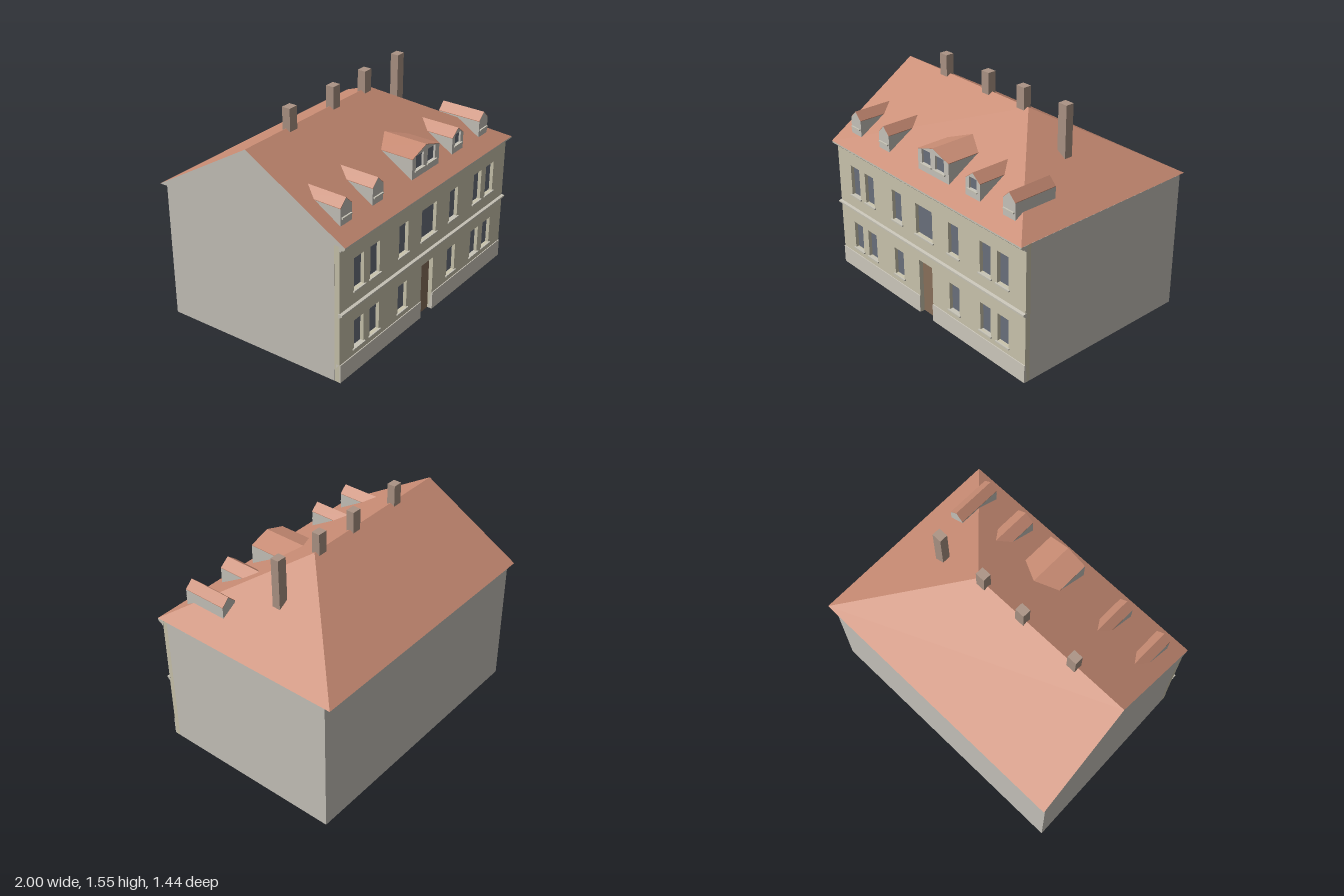
import * as THREE from 'three';

const paint = (color) => new THREE.MeshStandardMaterial({ color, flatShading: true });
const MAT = {
  facade: paint(0xcbc5ae), wall: paint(0xc8c4bc), plinth: paint(0xcfcabe), trim: paint(0xc9c5b8),
  glass: paint(0x6b717d), door: paint(0x8a715b), roof: paint(0xc98c74), chimney: paint(0xac9485),
};
const FRONT = 0.68, EAVE = 0.98, RIDGE = 1.415;

function add(parent, name, geometry, material) {
  const mesh = new THREE.Mesh(geometry, material);
  mesh.name = name;
  parent.add(mesh);
  return mesh;
}

// Box given by its limits on each axis
function box(parent, name, material, x0, x1, y0, y1, z0, z1) {
  const g = new THREE.BoxGeometry(x1 - x0, y1 - y0, z1 - z0);
  g.translate((x0 + x1) / 2, (y0 + y1) / 2, (z0 + z1) / 2);
  return add(parent, name, g, material);
}

const shapeOf = (pts) => new THREE.Shape(pts.map(([x, y]) => new THREE.Vector2(x, y)));

// Outline in x/y with rectangular holes [x0, x1, y0, y1], extruded from z0 to z1
function slab(parent, name, material, pts, z0, z1, holes = []) {
  const shape = shapeOf(pts);
  for (const [a, b, c, d] of holes) {
    shape.holes.push(new THREE.Path([[a, c], [a, d], [b, d], [b, c]].map(([x, y]) => new THREE.Vector2(x, y))));
  }
  const g = new THREE.ExtrudeGeometry(shape, { depth: z1 - z0, bevelEnabled: false });
  g.translate(0, 0, z0);
  return add(parent, name, g, material);
}

// Moulding with a z/y profile running along x
function moulding(parent, name, profile, x0, x1) {
  const g = new THREE.ExtrudeGeometry(shapeOf(profile.map(([z, y]) => [-z, y])), { depth: x1 - x0, bevelEnabled: false });
  g.rotateY(Math.PI / 2);
  // After the turn, local x points to -z
  g.translate(x0, 0, 0);
  return add(parent, name, g, MAT.trim);
}

// Flat faces, corners counter-clockwise from outside
function faces(parent, name, material, polys) {
  const pos = [];
  for (const p of polys) {
    for (let i = 1; i < p.length - 1; i++) pos.push(...p[0], ...p[i], ...p[i + 1]);
  }
  const g = new THREE.BufferGeometry();
  g.setAttribute('position', new THREE.Float32BufferAttribute(pos, 3));
  g.computeVertexNormals();
  return add(parent, name, g, material);
}

// Recessed pane and projecting sill for one opening
function windowParts(parent, [x0, x1, y0, y1], front, depth) {
  box(parent, 'windowPane', MAT.glass, x0, x1, y0, y1, front - depth - 0.005, front - depth);
  box(parent, 'windowSill', MAT.trim, x0 - 0.012, x1 + 0.012, y0 - 0.01, y0, front - depth, front + 0.011);
}

function dormer(parent, cx, half, eave, peak, windows) {
  const d = new THREE.Group();
  d.name = 'dormer';
  parent.add(d);
  const base = 1.045, back = 0.287, front = 0.613, skin = 0.02, t = 0.004;
  const outline = [[cx - half, base], [cx + half, base], [cx + half, eave], [cx, peak], [cx - half, eave]];
  slab(d, 'dormerBody', MAT.wall, outline, back, front - skin);
  slab(d, 'dormerFront', MAT.wall, outline, front - skin, front, windows);
  // Thin tiled covering
  slab(d, 'dormerRoof', MAT.roof, [[cx - half, eave], [cx, peak], [cx + half, eave],
    [cx + half, eave + t], [cx, peak + t], [cx - half, eave + t]], back, front);
  for (const w of windows) windowParts(d, w, front, skin - 0.005);
}

export function createModel() {
  const house = new THREE.Group();
  house.name = 'house';

  // Main walls: a footprint with a slanting left side
  const inner = FRONT - 0.04;
  const plan = shapeOf([[-0.937, -inner], [0.998, -inner], [0.99, 0.68], [-0.98, 0.68]]);
  const walls = new THREE.ExtrudeGeometry(plan, { depth: EAVE - 0.002, bevelEnabled: false });
  walls.rotateX(-Math.PI / 2);
  add(house, 'walls', walls, MAT.wall);

  // Front facade with window openings and a door notch
  const columns = [[-0.79, -0.69], [-0.625, -0.525], [-0.315, -0.215], [0.275, 0.375], [0.58, 0.68], [0.742, 0.845]];
  const openings = [[-0.06, 0.112, 0.605, 0.83]];
  for (const [a, b] of columns) openings.push([a, b, 0.605, 0.83], [a, b, 0.18, 0.385]);
  const L = -0.936, R = 0.998, doorL = -0.042, doorR = 0.097, doorTop = 0.41;
  slab(house, 'facade', MAT.facade, [[L, 0], [doorL, 0], [doorL, doorTop], [doorR, doorTop], [doorR, 0],
    [R, 0], [R, EAVE - 0.002], [L, EAVE - 0.002]], inner, FRONT - 0.003, openings);
  for (const o of openings) windowParts(house, o, FRONT - 0.003, 0.025);
  box(house, 'door', MAT.door, doorL, doorR, 0, doorTop, inner, inner + 0.006);

  // Plinth on both sides of the door
  for (const [a, b] of [[L, doorL], [doorR, R]]) box(house, 'plinth', MAT.plinth, a, b, 0, 0.13, inner + 0.01, FRONT + 0.003);

  // Belt course and eaves cornice
  moulding(house, 'beltCourse', [[0.67, 0.48], [0.685, 0.483], [0.69, 0.492], [0.698, 0.495], [0.698, 0.506], [0.67, 0.51]], L - 0.004, 1);
  moulding(house, 'cornice', [[0.67, 0.938], [0.686, 0.94], [0.69, 0.952], [0.706, 0.955], [0.718, 0.967], [0.718, 0.979], [0.67, 0.979]], L, 1);

  // Main roof: gable on the right-hand end of the street, hip on the other
  const A = [-0.938, EAVE, 0.72], B = [1, EAVE, 0.72], C = [0.992, EAVE, -0.72], D = [-1, EAVE, -0.72];
  const P = [-0.967, RIDGE, 0], Q = [0.275, RIDGE, 0];
  faces(house, 'mainRoof', MAT.roof, [[A, B, Q, P], [C, D, P, Q], [B, C, Q]]);
  faces(house, 'gableWall', MAT.wall, [[D, A, P]]);
  faces(house, 'soffit', MAT.wall, [[A, D, C, B]]);

  // Dormers: four small and one wide
  for (const x of [-0.785, -0.465, 0.445, 0.775]) {
    const h = x > 0.4 && x < 0.5 ? 0.068 : 0.055;
    dormer(house, x, h, 1.16, 1.213, [[x - 0.035, x + 0.035, 1.1, 1.183]].map(([a, b, c, d]) => [a, b, c, Math.min(d, 1.18)]));
  }
  dormer(house, 0.06, 0.155, 1.187, 1.238, [[-0.055, 0.032, 1.1, 1.2], [0.08, 0.168, 1.1, 1.2]]);

  // Chimneys along the ridge line, the last one rising out of the hip
  for (const [x, y0] of [[-0.55, 1.35], [-0.113, 1.35], [0.228, 1.35], [0.61, 1.17]]) {
    box(house, 'chimney', MAT.chimney, x - 0.035, x + 0.035, y0, 1.552, -0.03, 0.03);
  }
  return house;
}
